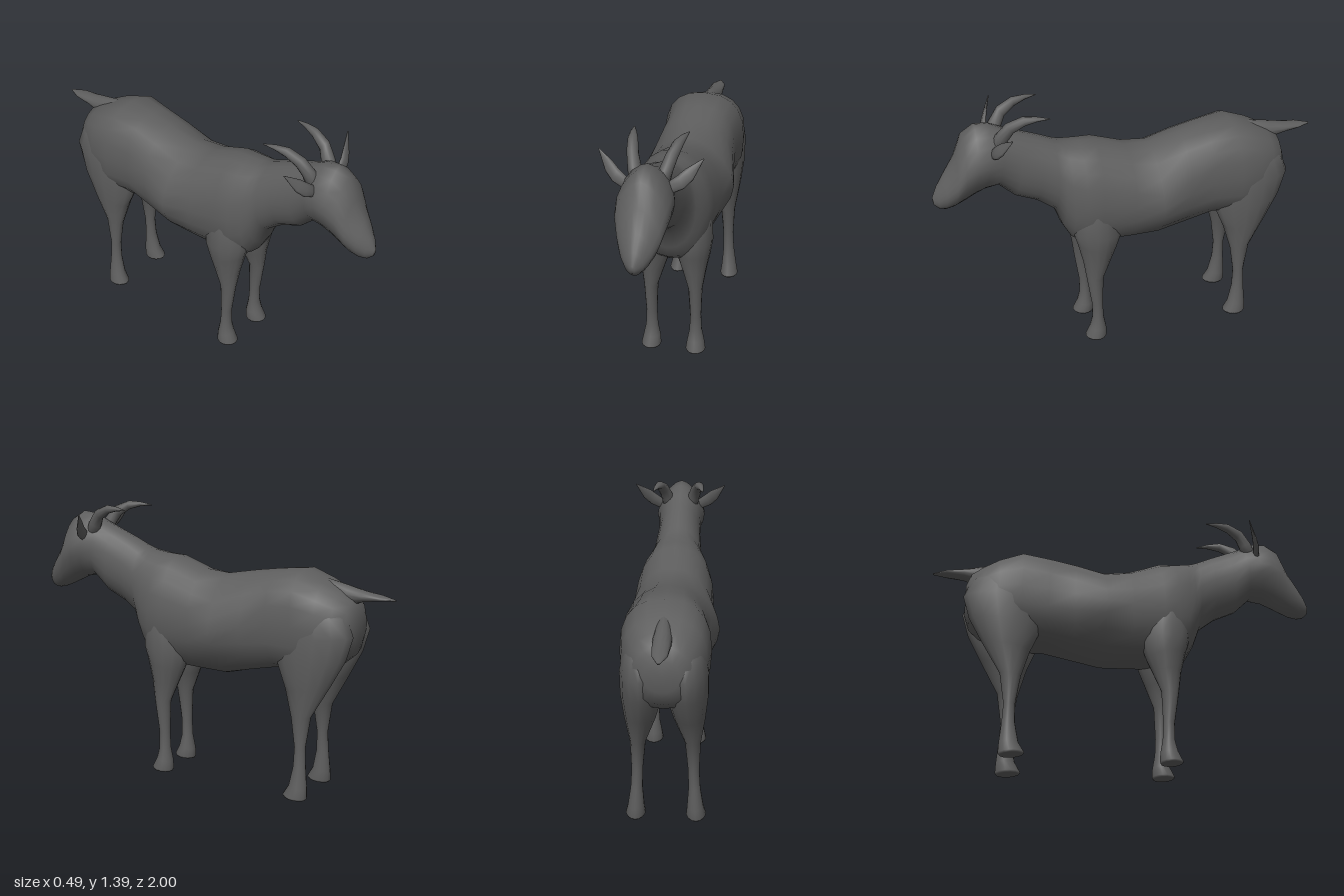
import * as THREE from 'three';

const coat = new THREE.MeshStandardMaterial({ color: 0x5e5e5e });
coat.name = 'grey coat';

// Skin over rings [pointA, pointB, halfWidth, pinch]; A and B are opposite ends
// of a ring, halfWidth runs along the side vector, pinch below 1 squares the ring.
function loft(name, rings, side = [1, 0, 0], mirror = 1, seg = 14) {
  const pos = [], idx = [], n = rings.length;
  const sideV = new THREE.Vector3(...side).normalize();
  const put = v => pos.push(v.x * mirror, v.y, v.z);
  const mids = rings.map(([a, b]) => new THREE.Vector3(...a).add(new THREE.Vector3(...b)).multiplyScalar(0.5));
  const soft = (v, e) => Math.sign(v) * Math.abs(v) ** e;
  rings.forEach(([a, b, w, e = 1], r) => {
    const half = new THREE.Vector3(...a).sub(mids[r]);
    for (let i = 0; i < seg; i++) {
      const t = i / seg * Math.PI * 2;
      put(mids[r].clone().addScaledVector(half, soft(Math.cos(t), e)).addScaledVector(sideV, w * soft(Math.sin(t), e)));
    }
  });
  put(mids[0]);
  put(mids[n - 1]);
  for (let i = 0; i < seg; i++) {
    const j = (i + 1) % seg;
    for (let r = 0; r < n - 1; r++) {
      const a = r * seg + i, b = r * seg + j;
      idx.push(a, b, b + seg, a, b + seg, a + seg);
    }
    const last = (n - 1) * seg;
    idx.push(n * seg, j, i, n * seg + 1, last + i, last + j);
  }
  // Turn the faces outward whichever way the rings run
  let volume = 0;
  const p = k => new THREE.Vector3().fromArray(pos, k * 3);
  for (let k = 0; k < idx.length; k += 3) volume += p(idx[k]).dot(p(idx[k + 1]).cross(p(idx[k + 2])));
  if (volume < 0) idx.reverse();
  const geo = new THREE.BufferGeometry();
  geo.setAttribute('position', new THREE.Float32BufferAttribute(pos, 3));
  geo.setIndex(idx);
  geo.computeVertexNormals();
  const mesh = new THREE.Mesh(geo, coat);
  mesh.name = name;
  return mesh;
}

// Ring standing on the centre plane: top (z, y), bottom (z, y)
const spine = ([zt, yt, zb, yb, w, e]) => [[0, yt, zt], [0, yb, zb], w, e];
// Leg ring: front z, front y, back z, back y, inner x, outer x
const limb = ([zf, yf, zb, yb, xi, xo]) => [[(xi + xo) / 2, yf, zf], [(xi + xo) / 2, yb, zb], (xo - xi) / 2, 1.06];

export function createModel() {
  const goat = new THREE.Group();
  goat.name = 'goat';

  // Trunk, neck and head in one skin, from rump to muzzle
  goat.add(loft('body', [
    [-0.825, 0.96, -0.825, 0.80, 0.085],
    [-0.80, 1.02, -0.80, 0.73, 0.135, 0.92],
    [-0.74, 1.06, -0.74, 0.68, 0.172, 0.88],
    [-0.66, 1.10, -0.66, 0.65, 0.203, 0.82],
    [-0.54, 1.145, -0.55, 0.63, 0.218, 0.8],
    [-0.40, 1.13, -0.42, 0.635, 0.198, 0.82],
    [-0.27, 1.11, -0.27, 0.60, 0.215, 0.95],
    [-0.11, 1.08, -0.12, 0.56, 0.245, 1.18],
    [0.02, 1.09, 0.03, 0.57, 0.208, 0.95],
    [0.18, 1.15, 0.20, 0.575, 0.203, 0.95],
    [0.26, 1.155, 0.28, 0.59, 0.19, 0.92],
    [0.33, 1.165, 0.325, 0.625, 0.165, 0.9],
    [0.36, 1.175, 0.365, 0.70, 0.148, 0.95],
    [0.39, 1.187, 0.40, 0.80, 0.133],
    [0.46, 1.22, 0.49, 0.87, 0.122],
    [0.55, 1.258, 0.60, 0.92, 0.113],
    [0.64, 1.295, 0.68, 1.0, 0.115],
    [0.70, 1.33, 0.75, 0.985, 0.13, 1.18],
    [0.77, 1.338, 0.80, 0.96, 0.13, 1.25],
    [0.83, 1.30, 0.85, 0.935, 0.12, 1.2],
    [0.87, 1.19, 0.90, 0.915, 0.10, 1.12],
    [0.93, 1.10, 0.94, 0.905, 0.073, 1.12],
    [0.975, 1.03, 0.97, 0.91, 0.044, 1.1],
    [1.0, 0.975, 0.995, 0.935, 0.012],
  ].map(spine), [1, 0, 0], 1, 20));

  // Tail
  goat.add(loft('tail', [
    [-0.60, 1.115, -0.66, 1.03, 0.03],
    [-0.76, 1.08, -0.77, 0.98, 0.045],
    [-0.84, 1.06, -0.84, 1.005, 0.042],
    [-0.93, 1.045, -0.93, 1.018, 0.036],
    [-1.0, 1.03, -1.0, 1.022, 0.006],
  ].map(spine)));

  for (const [label, m] of [['left', 1], ['right', -1]]) {
    // Front legs stand slightly closer together than the hind legs
    goat.add(loft(label + 'FrontLeg', [
      [0.27, 0.92, 0.12, 0.92, 0.06, 0.15],
      [0.32, 0.80, 0.08, 0.80, 0.02, 0.195],
      [0.325, 0.68, 0.07, 0.66, 0.005, 0.20],
      [0.305, 0.61, 0.10, 0.57, 0.015, 0.188],
      [0.28, 0.50, 0.13, 0.50, 0.045, 0.17],
      [0.265, 0.39, 0.175, 0.39, 0.08, 0.153],
      [0.24, 0.22, 0.182, 0.22, 0.088, 0.146],
      [0.24, 0.13, 0.178, 0.13, 0.085, 0.15],
      [0.255, 0.07, 0.165, 0.06, 0.073, 0.163],
      [0.28, 0.02, 0.163, 0.015, 0.067, 0.172],
      [0.275, 0.012, 0.168, 0.005, 0.072, 0.167],
    ].map(limb), [1, 0, 0], m));

    goat.add(loft(label + 'HindLeg', [
      [-0.52, 1.03, -0.72, 1.0, 0.05, 0.15],
      [-0.46, 0.94, -0.80, 0.94, 0.02, 0.19],
      [-0.43, 0.83, -0.835, 0.85, 0.005, 0.21],
      [-0.44, 0.68, -0.80, 0.73, 0.005, 0.21],
      [-0.49, 0.56, -0.725, 0.59, 0.04, 0.195],
      [-0.53, 0.42, -0.635, 0.43, 0.095, 0.172],
      [-0.553, 0.27, -0.61, 0.27, 0.11, 0.166],
      [-0.55, 0.17, -0.615, 0.17, 0.112, 0.172],
      [-0.53, 0.07, -0.625, 0.06, 0.105, 0.188],
      [-0.50, 0.02, -0.627, 0.01, 0.10, 0.20],
      [-0.505, 0.01, -0.62, 0.0, 0.105, 0.195],
    ].map(limb), [1, 0, 0], m));

    // Horn sweeping up and back
    goat.add(loft(label + 'Horn', [
      [[0.06, 1.23, 0.715], [0.06, 1.22, 0.64], 0.035],
      [[0.072, 1.295, 0.688], [0.072, 1.265, 0.625], 0.032],
      [[0.09, 1.36, 0.635], [0.09, 1.312, 0.60], 0.029],
      [[0.105, 1.392, 0.555], [0.105, 1.347, 0.55], 0.025],
      [[0.118, 1.388, 0.49], [0.118, 1.365, 0.49], 0.015],
      [[0.13, 1.375, 0.43], [0.13, 1.371, 0.43], 0.003],
    ], [1, 0, 0], m, 10));

    // Flat leaf-shaped ear
    goat.add(loft(label + 'Ear', [
      [[0.095, 1.25, 0.70], [0.11, 1.195, 0.71], 0.014],
      [[0.135, 1.282, 0.69], [0.165, 1.222, 0.70], 0.014],
      [[0.165, 1.308, 0.675], [0.203, 1.262, 0.68], 0.01],
      [[0.24, 1.352, 0.64], [0.243, 1.348, 0.64], 0.002],
    ], [0.3, 0, 1], m, 8));
  }
  return goat;
}
